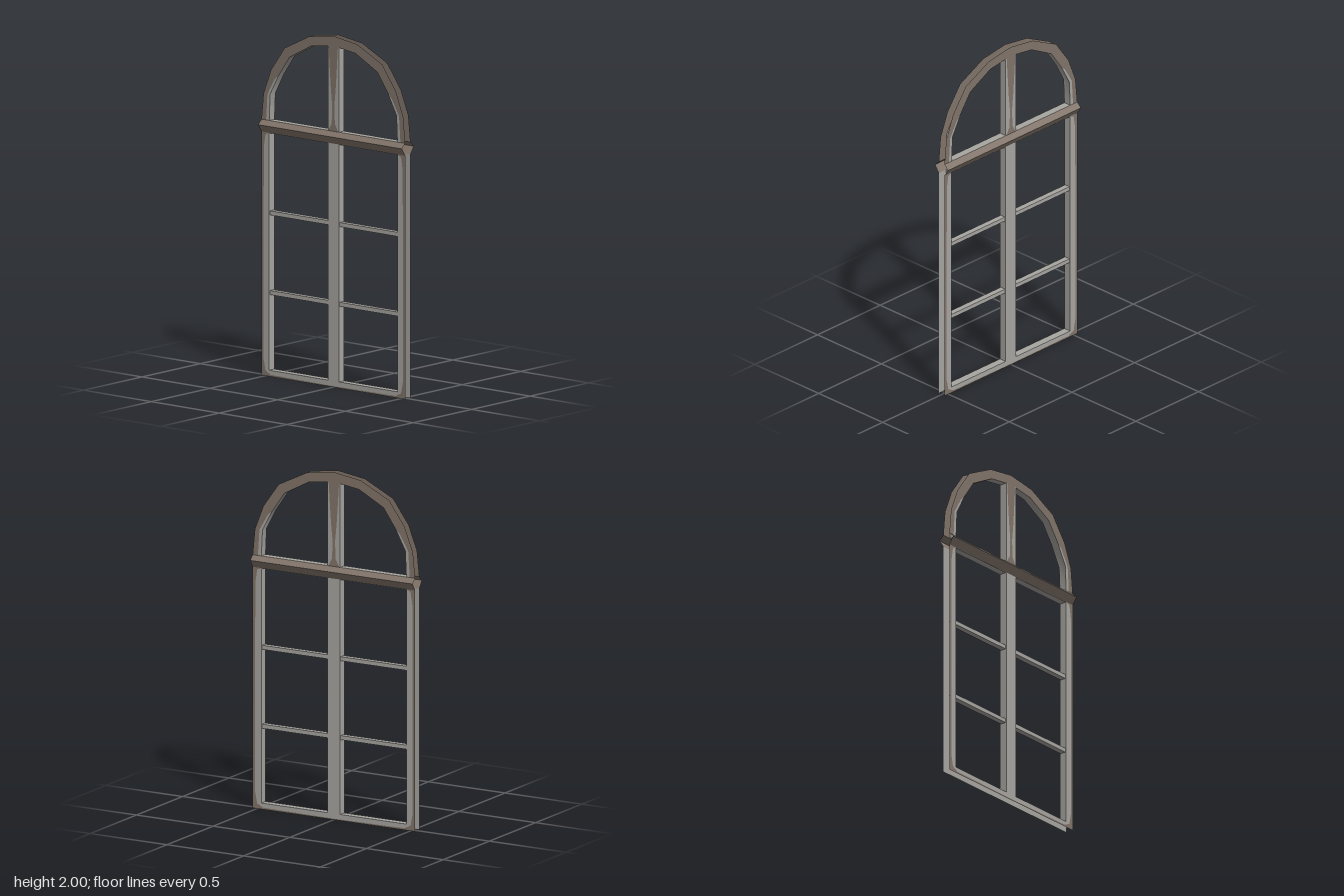
import * as THREE from 'three';

const mat = (name, color) => {
  const m = new THREE.MeshStandardMaterial({ color, side: THREE.DoubleSide });
  m.name = name;
  return m;
};

// Sweeps a polyline of [x, y, z] points along a vector; flat or smooth facets.
function ribbon(points, v, smooth = false) {
  const pos = [], idx = [];
  points.forEach((p, i) => {
    pos.push(...p, p[0] + v[0], p[1] + v[1], p[2] + v[2]);
    if (i < points.length - 1) {
      const a = i * 2;
      idx.push(a, a + 2, a + 3, a, a + 3, a + 1);
    }
  });
  let g = new THREE.BufferGeometry();
  g.setAttribute('position', new THREE.Float32BufferAttribute(pos, 3));
  g.setIndex(idx);
  if (!smooth) g = g.toNonIndexed();
  g.computeVertexNormals();
  return g;
}

const flat = (pts) => new THREE.ShapeGeometry(new THREE.Shape(pts.map(([x, y]) => new THREE.Vector2(x, y))));
const mirrorX = (pts, s) => pts.map(([x, y]) => [x * s, y]);

const W = 0.53, D = 0.0225;              // half width, half depth of the frame
const IN = 0.473, MUL = 0.041;           // inner jamb edge, half mullion
const SILL = 0.035, BAR0 = 1.387, BAR1 = 1.457;

// Right half of the arch, from springing to crown
const outerArch = [[W, BAR1], [0.515, 1.607], [0.46, 1.746], [0.36, 1.884], [0.175, 1.975], [0, 2]];
const innerArch = [[IN, BAR1], [0.466, 1.607], [0.405, 1.72], [0.323, 1.837], [0.164, 1.921], [MUL, 1.938]];

// Weathered brown areas on the face
const jambStain = [[W, 0], [W, BAR0], [IN, BAR0], [0.5, 1.375], [0.512, 1.3], [0.514, 0.1],
  [0.5, 0.03], [0.46, 0.01], [0, 0.006], [0, 0]];
const mullionStain = [[0, BAR1], [0.036, BAR1], [0.012, 1.5], [0.008, 1.6], [0.018, 1.7], [0.025, 1.8],
  [0.034, 1.94], [0, 1.944]];
const archFoot = [[IN, BAR1], [0.495, BAR1], [0.485, 1.607], [0.43, 1.7], [0.405, 1.72], [0.466, 1.607]];

export function createModel() {
  const root = new THREE.Group();
  root.name = 'archedWindow';
  const brown = mat('weatheredBrown', 0x82756a);
  const grey = mat('wornGrey', 0xa8a6a1);
  const add = (parent, name, geo, material, z = 0) => {
    const m = new THREE.Mesh(geo, material);
    m.name = name;
    m.position.z = z;
    parent.add(m);
  };

  // Front and back faces
  for (const [name, turn] of [['frontFace', 0], ['backFace', Math.PI]]) {
    const face = new THREE.Group();
    face.name = name;
    face.rotation.y = turn;
    root.add(face);

    // Lower frame with two openings
    const lower = new THREE.Shape([[-W, 0], [W, 0], [W, BAR0], [-W, BAR0]].map((p) => new THREE.Vector2(...p)));
    for (const s of [1, -1]) {
      const hole = [[MUL, SILL], [IN, SILL], [IN, BAR0 - 0.002], [MUL, BAR0 - 0.002]];
      lower.holes.push(new THREE.Path(mirrorX(hole, s).map((p) => new THREE.Vector2(...p))));
    }
    add(face, 'lowerFrame', new THREE.ShapeGeometry(lower), grey, D);

    // Upper mullion, arch band and stains
    add(face, 'upperMullion', flat([[-MUL, BAR1], [MUL, BAR1], [MUL, 1.938], [-MUL, 1.938]]), grey, D);
    for (const s of [1, -1]) {
      add(face, 'archBand', flat(mirrorX([...outerArch, [0, 1.938], ...[...innerArch].reverse()], s)), brown, D);
      add(face, 'archFoot', flat(mirrorX(archFoot, s)), grey, D + 0.001);
      add(face, 'jambStain', flat(mirrorX(jambStain, s)), brown, D + 0.001);
      add(face, 'mullionStain', flat(mirrorX(mullionStain, s)), brown, D + 0.001);
    }

    // Pointed crossbar moulding
    add(face, 'crossbar', ribbon([[-W, BAR1, D], [-W, 1.43, 0.051], [-W, BAR0, D]], [2 * W, 0, 0]), brown);
  }

  // Inner sides of the four openings
  const depth = [0, 0, 2 * D];
  for (const s of [1, -1]) {
    const path = (pts) => {
      const p = mirrorX(pts, s).map(([x, y]) => [x, y, -D]);
      return s > 0 ? p : p.reverse();
    };
    add(root, 'lowerReveal', ribbon(path([[MUL, SILL], [MUL, BAR0], [IN, BAR0], [IN, SILL], [MUL, SILL]]), depth), grey);
    add(root, 'upperReveal', ribbon(path([[IN, BAR1], [MUL, BAR1], [MUL, 1.938]]), depth), grey);
    add(root, 'archReveal', ribbon(path([...innerArch].reverse()), depth, true), grey);
  }

  // Horizontal glazing bars, running through the mullion
  for (const y of [0.476, 0.93]) {
    const h = 0.012, d = 0.017, x = -0.485;
    const loop = [[x, y + h, d], [x, y - h, d], [x, y - h, -d], [x, y + h, -d], [x, y + h, d]];
    add(root, 'glazingBar', ribbon(loop, [0.97, 0, 0]), grey);
  }
  return root;
}
